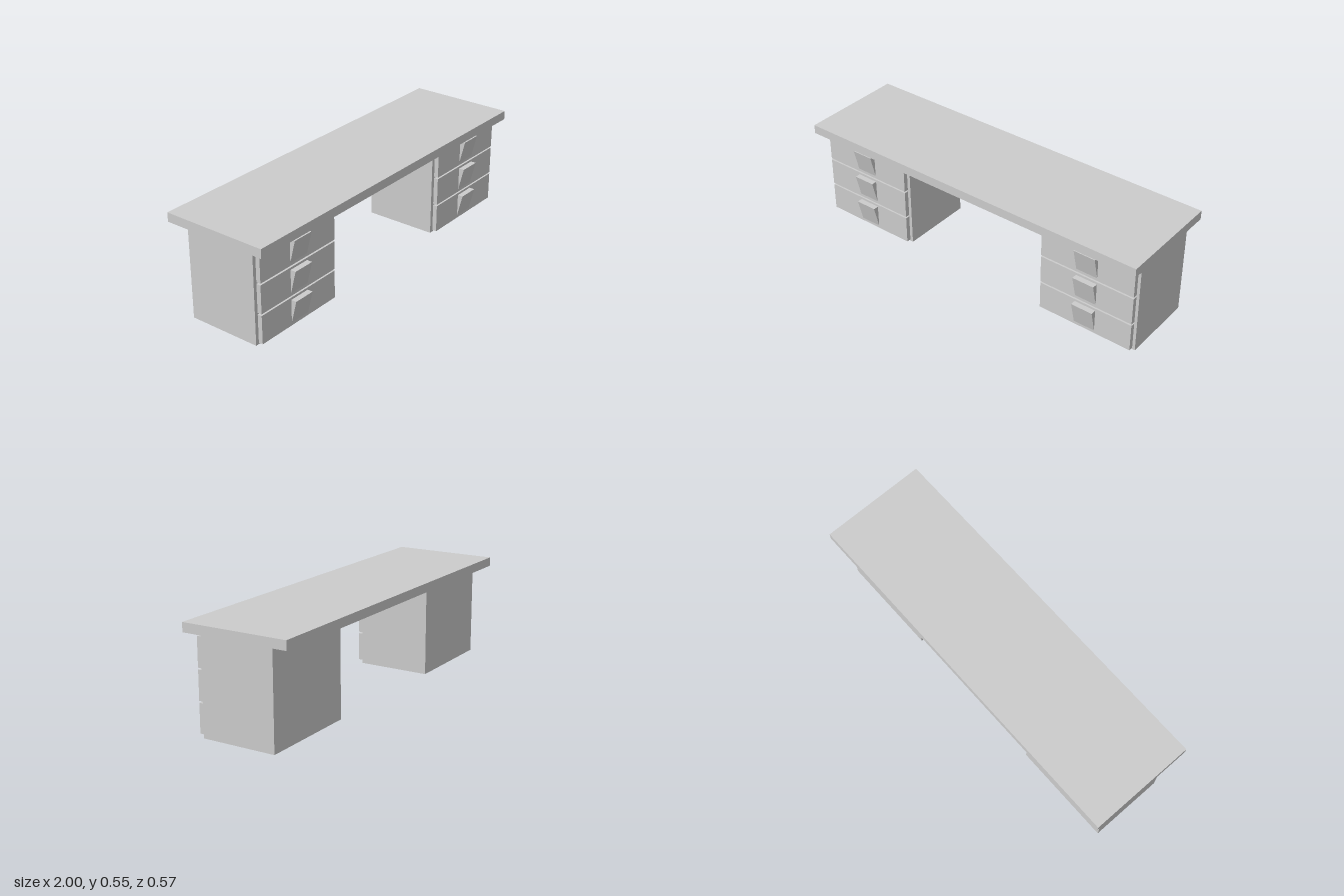
import * as THREE from 'three';

const material = new THREE.MeshStandardMaterial({ color: 0xcccccc, flatShading: true });

// Box given by its lower and upper corners
function box(name, [x0, y0, z0], [x1, y1, z1]) {
  const mesh = new THREE.Mesh(new THREE.BoxGeometry(x1 - x0, y1 - y0, z1 - z0), material);
  mesh.position.set((x0 + x1) / 2, (y0 + y1) / 2, (z0 + z1) / 2);
  mesh.name = name;
  return mesh;
}

// Wedge handle: thick at the top, tapering down to the drawer face, with its root running back to the cabinet
function handle(x, top) {
  const width = 0.118, height = 0.123;
  const profile = new THREE.Shape([
    new THREE.Vector2(0.199, 0),
    new THREE.Vector2(0.259, 0),
    new THREE.Vector2(0.229, -height),
    new THREE.Vector2(0.199, -height),
  ]);
  const geometry = new THREE.ExtrudeGeometry(profile, { depth: width, bevelEnabled: false });
  geometry.translate(0, 0, -width / 2).rotateY(-Math.PI / 2);
  const mesh = new THREE.Mesh(geometry, material);
  mesh.position.set(x, top, 0);
  mesh.name = 'handle';
  return mesh;
}

// Cabinet with three drawers
function pedestal(name, x) {
  const group = new THREE.Group();
  group.name = name;
  group.add(box('cabinet', [x - 0.274, 0, -0.197], [x + 0.274, 0.498, 0.199]));
  for (let i = 0; i < 3; i++) {
    const y = 0.014 + i * 0.159;
    const drawer = new THREE.Group();
    drawer.name = 'drawer';
    drawer.add(box('drawerFront', [x - 0.262, y, 0.205], [x + 0.262, y + 0.15, 0.229]));
    drawer.add(handle(x + 0.001, y + 0.138));
    group.add(drawer);
  }
  return group;
}

export function createModel() {
  const desk = new THREE.Group();
  desk.name = 'desk';
  desk.add(box('deskTop', [-1, 0.498, -0.285], [1, 0.546, 0.285]));
  desk.add(pedestal('rightPedestal', -0.689));
  desk.add(pedestal('leftPedestal', 0.706));
  return desk;
}
